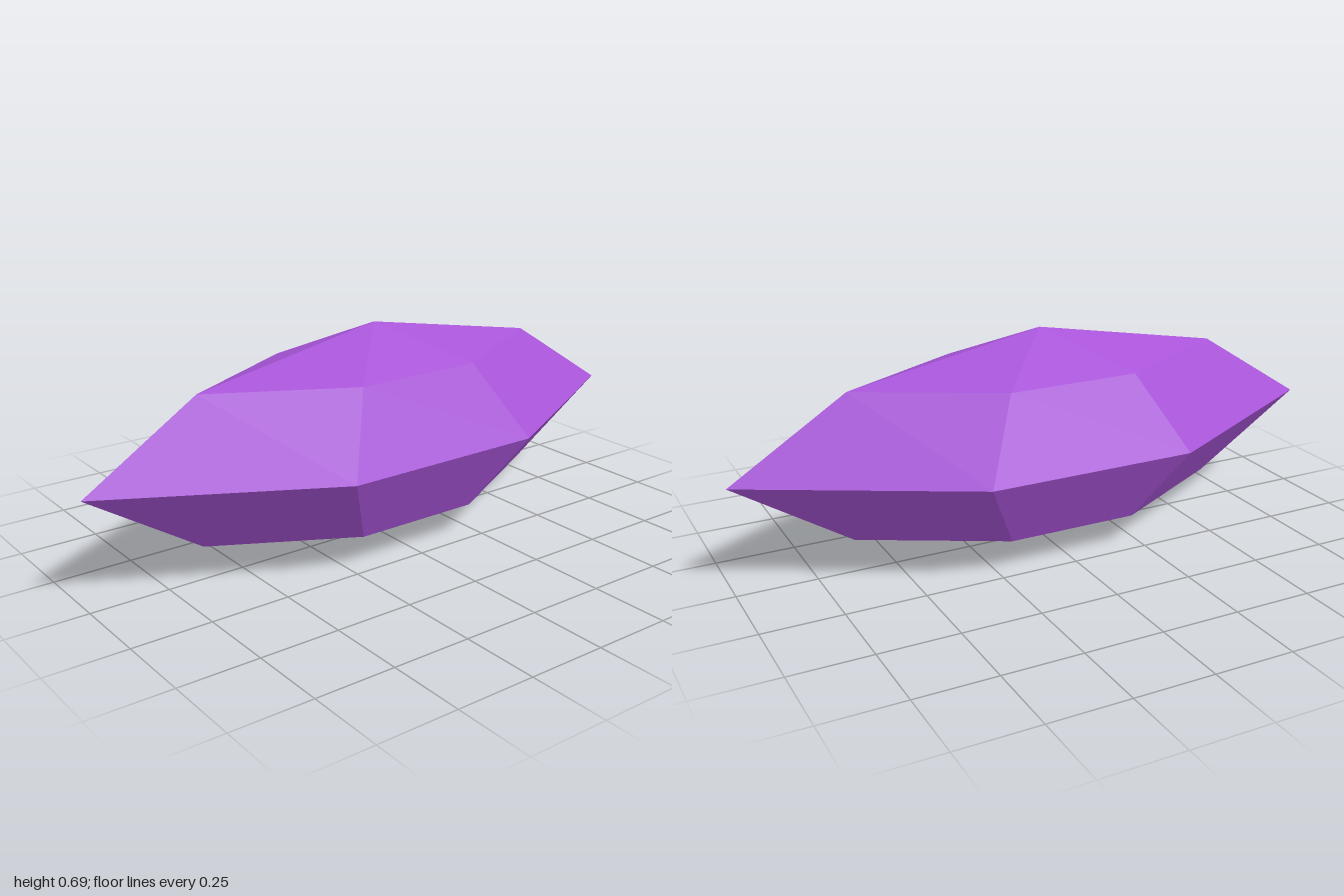
import * as THREE from 'three';

export function createModel() {
  const group = new THREE.Group();
  group.name = 'crystal';

  const violet = new THREE.MeshStandardMaterial({ color: 0xa855d8 });
  violet.name = 'violet';
  violet.flatShading = true;

  // Six-sided facets turned from a profile, then stretched into a long hexagon
  const facets = (name, profile) => {
    const geometry = new THREE.LatheGeometry(profile.map(([r, y]) => new THREE.Vector2(r, y)), 6);
    const p = geometry.attributes.position;
    for (let i = 0; i < p.count; i++) {
      const x = p.getX(i), z = p.getZ(i);
      const side = Math.abs(x) > 1e-4;
      p.setX(i, side ? x * 0.363 / Math.sin(Math.PI / 3) : 0);
      if (side) p.setZ(i, z * 2 / 3); // side corners sit a third of the way to the tips
    }
    geometry.computeVertexNormals();
    const mesh = new THREE.Mesh(geometry, violet);
    mesh.name = name;
    group.add(mesh);
  };

  facets('lowerPoint', [[0, 0], [0.63, 0.104]]);
  facets('lowerBody', [[0.63, 0.104], [1, 0.34]]);
  facets('upperBody', [[1, 0.34], [0.63, 0.575]]);
  facets('crown', [[0.63, 0.575], [0, 0.693]]);

  return group;
}
